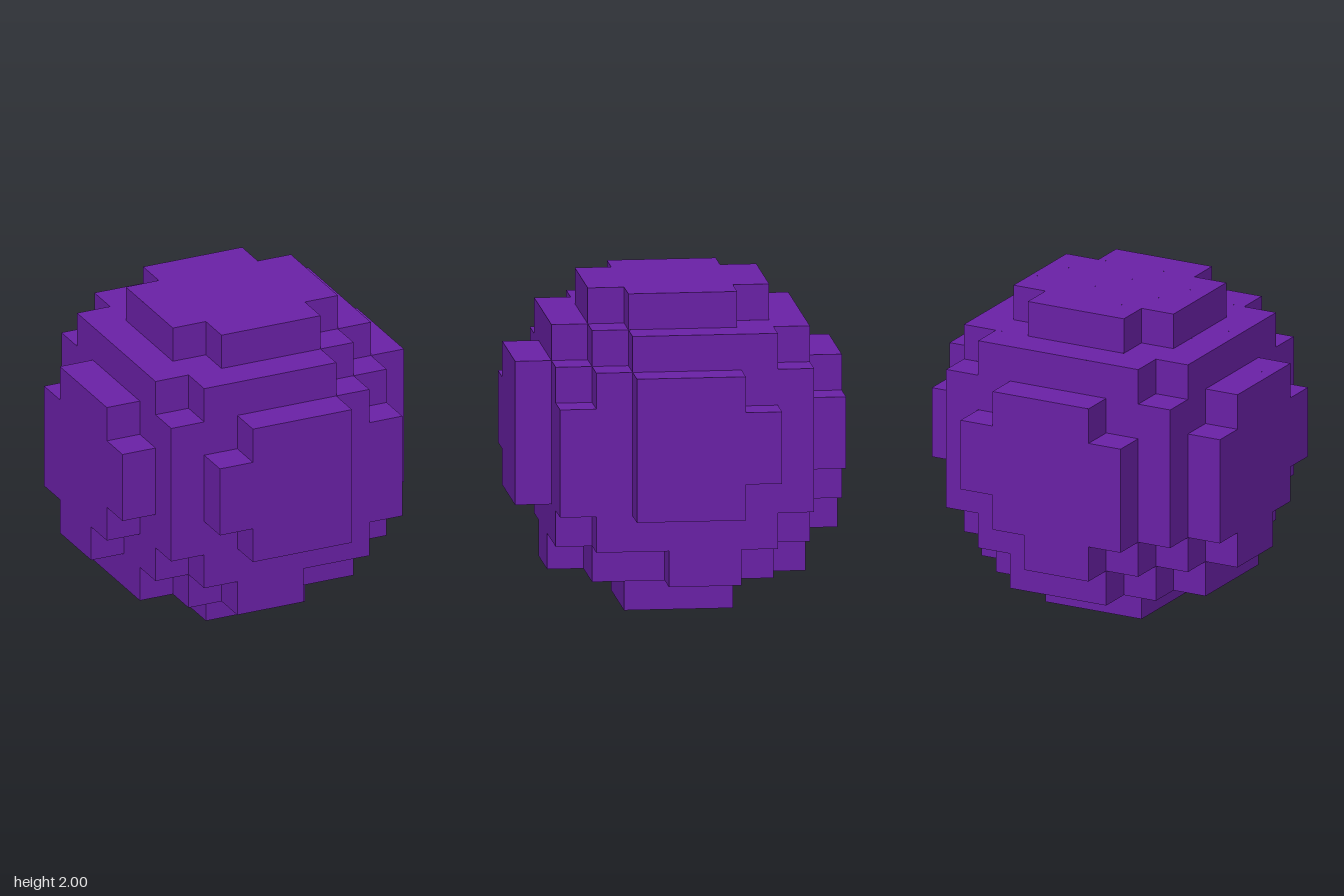
import * as THREE from 'three';
import { mergeGeometries } from 'three/addons/utils/BufferGeometryUtils.js';

const CELLS = 9;              // blocks along each axis
const SIZE = 2 / CELLS;       // edge of one block
const HALF = (CELLS - 1) / 2;

// A block is filled when it lies within a ball set slightly off the grid centre.
const CENTRE = new THREE.Vector3(-0.1, 0.26, -0.1);
const RADIUS_SQ = 21.08 + CENTRE.lengthSq();
const filled = (p) => p.distanceToSquared(CENTRE) <= RADIUS_SQ;

const DIRECTIONS = [
  [1, 0, 0], [-1, 0, 0], [0, 1, 0], [0, -1, 0], [0, 0, 1], [0, 0, -1],
].map((d) => new THREE.Vector3(...d));

// One outward square for each block side that has no neighbour.
function blockBall() {
  const sides = DIRECTIONS.map((d) => new THREE.PlaneGeometry(SIZE, SIZE).lookAt(d));
  const faces = [];
  for (let x = -HALF; x <= HALF; x++)
    for (let y = -HALF; y <= HALF; y++)
      for (let z = -HALF; z <= HALF; z++) {
        const cell = new THREE.Vector3(x, y, z);
        if (!filled(cell)) continue;
        DIRECTIONS.forEach((d, i) => {
          if (filled(cell.clone().add(d))) return;
          const at = cell.clone().addScaledVector(d, 0.5).multiplyScalar(SIZE);
          faces.push(sides[i].clone().translate(at.x, at.y + 1, at.z));
        });
      }
  return mergeGeometries(faces);
}

export function createModel() {
  const purple = new THREE.MeshStandardMaterial({ color: 0x6b21a8 });
  purple.name = 'purple';

  const ball = new THREE.Mesh(blockBall(), purple);
  ball.name = 'blockBall';

  const model = new THREE.Group();
  model.name = 'blockSphere';
  model.add(ball);
  return model;
}
